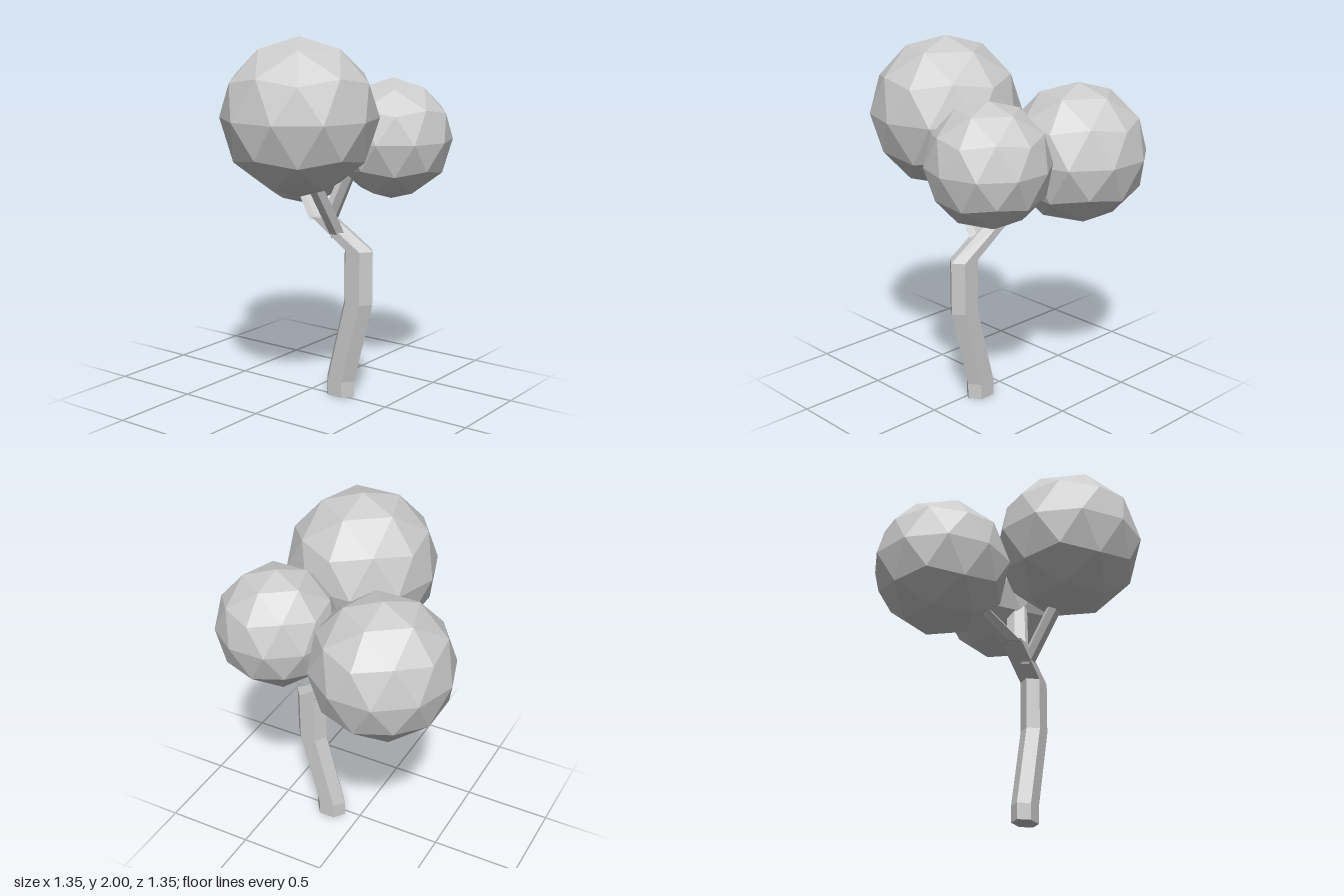
import * as THREE from 'three';

const material = new THREE.MeshStandardMaterial({ color: 0xcccccc, flatShading: true });

function addMesh(group, name, geometry) {
  const flat = geometry.toNonIndexed();
  flat.computeVertexNormals();
  const mesh = new THREE.Mesh(flat, material);
  mesh.name = name;
  group.add(mesh);
  return mesh;
}

// Six-sided limb through level rings, each [x, y, z, half width, half depth]
function limb(rings) {
  const n = rings.length - 1;
  const geometry = new THREE.CylinderGeometry(1, 1, 1, 6, n);
  const pos = geometry.attributes.position;
  for (let i = 0; i < pos.count; i++) {
    const [x, y, z, hx, hz] = rings[Math.round((pos.getY(i) + 0.5) * n)];
    pos.setXYZ(i, x + pos.getX(i) * hx / Math.cos(Math.PI / 6), y, z + pos.getZ(i) * hz);
  }
  return geometry;
}

// Faceted ball with a corner pointing straight up
function ball(radius) {
  const golden = (1 + Math.sqrt(5)) / 2;
  const geometry = new THREE.IcosahedronGeometry(radius, 1);
  geometry.rotateZ(-Math.atan(1 / golden));
  return geometry;
}

export function createModel() {
  const tree = new THREE.Group();
  tree.name = 'tree';

  // Bent trunk and the three branches leaving its top
  const limbs = {
    trunk: [
      [0.03, 0, 0.18, 0.06, 0.0925],
      [0.03, 0.09, 0.18, 0.06, 0.0925],
      [0.03, 0.55, 0.295, 0.06, 0.0925],
      [0.03, 0.845, 0.295, 0.06, 0.0925],
      [0.03, 1.005, 0.055, 0.06, 0.075],
    ],
    frontBranch: [
      [0.03, 0.99, 0.095, 0.06, 0.035],
      [0.1, 1.36, 0.225, 0.055, 0.035],
    ],
    backBranch: [
      [0.03, 0.99, 0.03, 0.06, 0.05],
      [0.21, 1.25, -0.28, 0.05, 0.045],
    ],
    rightBranch: [
      [0.02, 0.9, 0.17, 0.035, 0.05],
      [-0.27, 1.36, 0.14, 0.035, 0.05],
    ],
  };
  for (const [name, rings] of Object.entries(limbs)) addMesh(tree, name, limb(rings));

  // Foliage balls at the branch ends
  const foliage = [
    ['rightFoliage', 0.417, -0.28, 1.583, 0.13],
    ['backFoliage', 0.386, 0.305, 1.386, -0.288],
    ['frontFoliage', 0.332, 0.275, 1.433, 0.342],
  ];
  for (const [name, radius, x, y, z] of foliage) {
    addMesh(tree, name, ball(radius)).position.set(x, y, z);
  }

  return tree;
}
